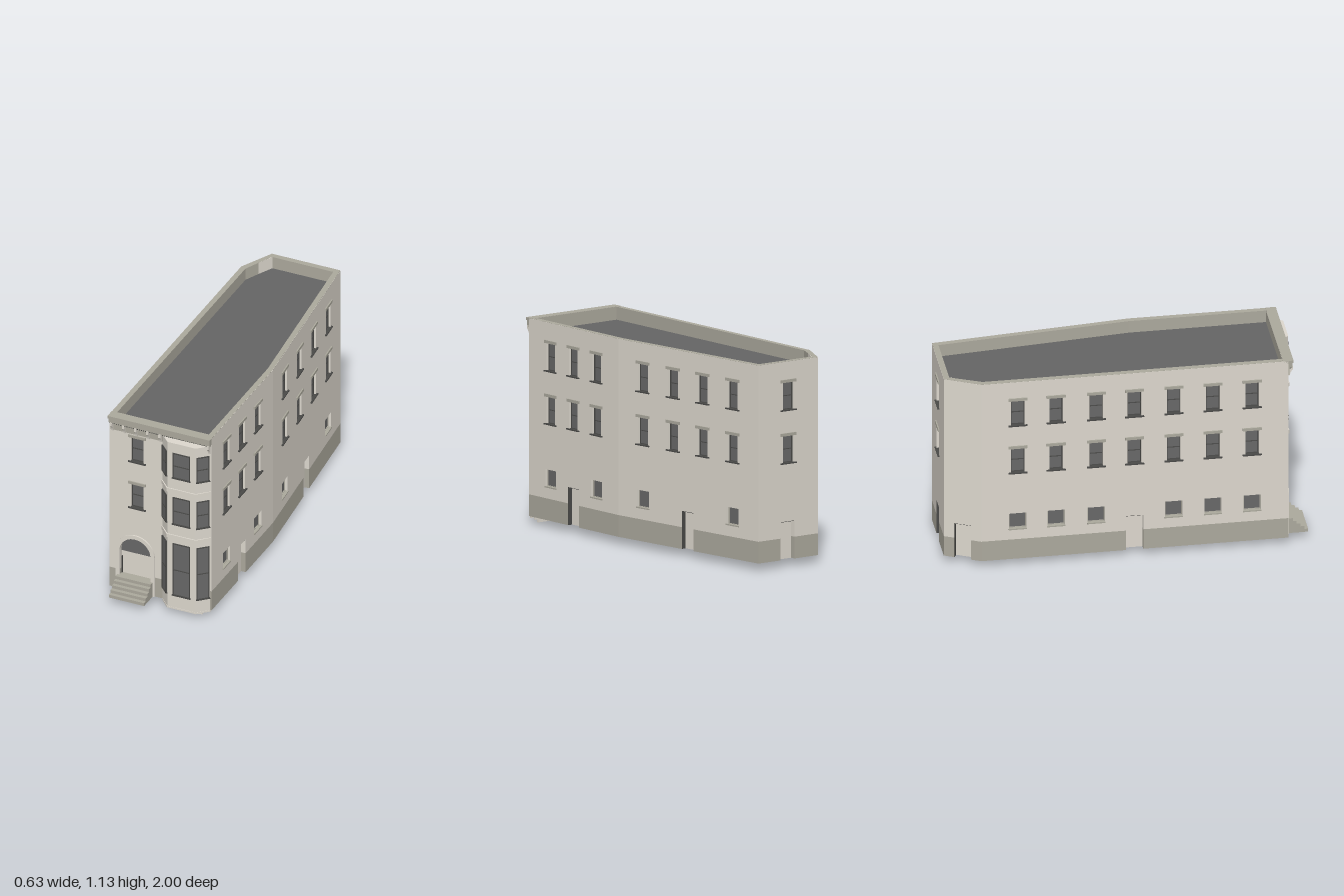
import * as THREE from 'three';

const material = (name, color) => {
  const m = new THREE.MeshStandardMaterial({ color });
  m.name = name;
  return m;
};

export function createModel() {
  const stone = material('pale stone', 0xddd8ce);
  const trim = material('grey stone trim', 0xaca99d);
  const glass = material('dark glass', 0x686868);
  const frame = material('window frame', 0x4a4a48);
  const roofing = material('roofing', 0x656565);
  const model = new THREE.Group();
  model.name = 'townhouse';

  const add = (parent, name, geo, mat, x = 0, y = 0, z = 0) => {
    const mesh = new THREE.Mesh(geo, mat);
    mesh.name = name;
    mesh.position.set(x, y, z);
    parent.add(mesh);
    return mesh;
  };
  // box given by its extents
  const box = (parent, name, mat, x0, x1, y0, y1, z0, z1) =>
    add(parent, name, new THREE.BoxGeometry(x1 - x0, y1 - y0, z1 - z0), mat, (x0 + x1) / 2, (y0 + y1) / 2, (z0 + z1) / 2);
  const extrude = (shape, depth) => new THREE.ExtrudeGeometry(shape, { depth, bevelEnabled: false, curveSegments: 20 });
  // plan polygon [x, z] raised from y0 to y1
  const planPoints = (pts) => pts.map(([x, z]) => new THREE.Vector2(x, -z));
  const slab = (name, mat, pts, y0, y1, hole) => {
    const shape = new THREE.Shape(planPoints(pts));
    if (hole) shape.holes.push(new THREE.Path(planPoints(hole)));
    return add(model, name, extrude(shape, y1 - y0).rotateX(-Math.PI / 2), mat, 0, y0, 0);
  };
  // group standing on a wall line: local x runs along the wall, z points outward
  const facade = (name, a, b) => {
    const g = new THREE.Group();
    g.name = name;
    g.position.set(a[0], 0, a[1]);
    g.rotation.y = Math.atan2(a[1] - b[1], b[0] - a[0]);
    model.add(g);
    return { g, length: Math.hypot(b[0] - a[0], b[1] - a[1]) };
  };

  // double-hung window: glass, border and meeting rail
  const addWindow = (g, u, w, y0, y1, z, border = frame, rail = true) => {
    const t = 0.004, l = u - w / 2, r = u + w / 2;
    box(g, 'windowGlass', glass, l, r, y0, y1, z - 0.004, z);
    box(g, 'windowFrame', border, l, l + t, y0, y1, z, z + 0.006);
    box(g, 'windowFrame', border, r - t, r, y0, y1, z, z + 0.006);
    box(g, 'windowFrame', border, l, r, y0, y0 + t, z, z + 0.006);
    box(g, 'windowFrame', border, l, r, y1 - t, y1, z, z + 0.006);
    if (rail) {
      const m = y0 + (y1 - y0) * 0.49;
      box(g, 'meetingRail', border, l, r, m - 0.002, m + 0.002, z, z + 0.005);
    }
  };

  const BASE = 0.04, BAND = 0.16, TOP = 1.13, THICK = 0.03;
  const FLOORS = [[0.573, 0.725], [0.865, 1.02]];
  const baseFaces = [trim, trim, trim, trim, trim, stone]; // pale on the inside

  // wall panel with a grey base, notched doors and pierced windows
  const buildWall = (name, a, b, { axis, tall = [], low = [], doors = [], arch }) => {
    const { g, length } = facade(name, a, b);
    const toU = (v) => (v - a[axis]) / (b[axis] - a[axis]) * length;
    const gaps = doors.map((v) => ({ u: toU(v), half: 0.048, top: 0.25 }));
    if (arch !== undefined) gaps.push({ u: toU(arch), half: 0.093, top: 0.282, round: true });
    gaps.sort((p, q) => p.u - q.u);

    const upper = new THREE.Shape();
    upper.moveTo(0, BAND);
    let start = 0;
    for (const d of gaps) {
      const l = d.u - d.half, r = d.u + d.half;
      box(g, 'wallBase', baseFaces, start, l, BASE, BAND, -THICK, 0);
      start = r;
      upper.lineTo(l, BAND);
      upper.lineTo(l, d.top);
      if (d.round) upper.absarc(d.u, d.top, d.half, Math.PI, 0, true);
      else {
        upper.lineTo(r, d.top);
        box(g, 'door', stone, l, r, BASE, d.top, -THICK - 0.002, -THICK + 0.002);
        box(g, 'doorBack', frame, l, r, BASE, d.top, -THICK - 0.005, -THICK - 0.002);
        box(g, 'doorHead', frame, l, r, d.top - 0.003, d.top, -THICK, -0.002);
        box(g, 'doorJamb', frame, l, l + 0.002, BASE, d.top, -THICK, -0.002);
      }
      upper.lineTo(r, BAND);
    }
    box(g, 'wallBase', baseFaces, start, length, BASE, BAND, -THICK, 0);
    upper.lineTo(length, BAND);
    upper.lineTo(length, TOP);
    upper.lineTo(0, TOP);

    const pierce = (u, w, y0, y1) => upper.holes.push(new THREE.Path([
      new THREE.Vector2(u - w / 2, y0), new THREE.Vector2(u - w / 2, y1),
      new THREE.Vector2(u + w / 2, y1), new THREE.Vector2(u + w / 2, y0)]));
    for (const u of tall.map(toU)) for (const [y0, y1] of FLOORS) {
      pierce(u, 0.075, y0, y1);
      addWindow(g, u, 0.075, y0, y1, -0.018);
      box(g, 'lintel', trim, u - 0.052, u + 0.052, y1 - 0.004, y1 + 0.012, -0.005, 0.007);
      box(g, 'sill', frame, u - 0.052, u + 0.052, y0 - 0.006, y0 + 0.001, -0.015, 0.009);
    }
    for (const u of low.map(toU)) {
      pierce(u, 0.095, 0.225, 0.32);
      addWindow(g, u, 0.095, 0.225, 0.32, -0.02, trim, false);
      box(g, 'lowSill', trim, u - 0.05, u + 0.05, 0.22, 0.227, -0.015, 0.005);
    }
    add(g, 'wall', extrude(upper, THICK), stone, 0, 0, -THICK);
  };

  // walls
  const F = 0.885;
  const outline = [[-0.305, F], [0.305, F], [0.305, 0.1], [0.2, -0.991], [-0.21, -0.991], [-0.305, -0.8]];
  const inner = [[-0.275, 0.855], [0.275, 0.855], [0.275, 0.1], [0.172, -0.961], [-0.197, -0.961], [-0.275, -0.79]];
  const specs = [
    ['frontWall', { axis: 0, tall: [-0.14], arch: -0.15 }],
    ['leftFrontWall', { axis: 1, tall: [0.695, 0.497, 0.294], low: [0.695, 0.294], doors: [0.497] }],
    ['leftRearWall', { axis: 1, tall: [-0.09, -0.326, -0.556, -0.79], low: [-0.09, -0.79], doors: [-0.438] }],
    ['backWall', { axis: 0, tall: [-0.005], doors: [0] }],
    ['cornerWall', { axis: 1, doors: [-0.895] }],
    ['rightWall', { axis: 1, tall: [-0.6, -0.39, -0.17, 0.04, 0.255, 0.47, 0.685], low: [-0.6, -0.39, -0.17, 0.255, 0.47, 0.685], doors: [0.04] }],
  ];
  specs.forEach(([name, spec], i) => buildWall(name, outline[i], outline[(i + 1) % 6], spec));

  // roof and parapet; the shell is open underneath
  slab('roof', roofing, inner, 1.055, 1.06);
  slab('parapet', trim, outline.map(([x, z]) => [x * 0.997, z * 0.999]), 1.06, TOP + 0.001, inner.map(([x, z]) => [x * 0.995, z * 0.998]));

  // arched entrance
  const cx = -0.15, spring = 0.282, R = 0.093, RO = 0.116;
  const ring = new THREE.Shape();
  ring.moveTo(cx - RO, BASE);
  ring.lineTo(cx - R, BASE);
  ring.lineTo(cx - R, spring);
  ring.absarc(cx, spring, R, Math.PI, 0, true);
  ring.lineTo(cx + R, BASE);
  ring.lineTo(cx + RO, BASE);
  ring.lineTo(cx + RO, spring);
  ring.absarc(cx, spring, RO, 0, Math.PI, false);
  add(model, 'archSurround', extrude(ring, 0.012), stone, 0, 0, F - 0.004);
  const fan = new THREE.Shape();
  fan.moveTo(cx + R, 0.27);
  fan.lineTo(cx + R, spring);
  fan.absarc(cx, spring, R, 0, Math.PI, false);
  fan.lineTo(cx - R, 0.27);
  add(model, 'fanlight', extrude(fan, 0.006), glass, 0, 0, F - 0.028);
  box(model, 'entranceDoor', stone, cx - R, cx + R, BASE, 0.27, F - 0.036, F - 0.028);
  for (const s of [-1, 1])
    box(model, 'entranceJamb', frame, cx + s * 0.09 - 0.002, cx + s * 0.09 + 0.002, 0.13, 0.235, F - 0.03, F - 0.018);

  // entrance steps
  for (let i = 0; i < 5; i++)
    box(model, 'step', trim, -0.256, -0.045, BASE + i * 0.018, BASE + (i + 1) * 0.018, F - 0.025, 1 - i * 0.021);

  // bay window: plan grows or shrinks by e
  const bayPlan = (e) => [[0.012 - e, F - 0.01], [0.012 - e, F], [0.067 - e * 0.5, 0.942 + e], [0.236 + e * 0.5, 0.942 + e], [0.296 + e, F], [0.296 + e, F - 0.01]];
  slab('bay', stone, bayPlan(0), 0.04, 1.08);
  for (const y of [0.478, 0.77]) slab('bayBand', stone, bayPlan(0.006), y, y + 0.022);
  slab('bayFoot', stone, bayPlan(0.002), 0.03, 0.04);
  slab('bayFoot', stone, bayPlan(-0.024), 0.017, 0.03);
  slab('bayFoot', stone, bayPlan(-0.046), 0, 0.017);
  const corners = bayPlan(0).slice(1, 5);
  for (let i = 0; i < 3; i++) {
    const { g, length } = facade('bayFace', corners[i], corners[i + 1]);
    const w = i === 1 ? 0.104 : length * 0.88;
    for (const [y0, y1] of [[0.12, 0.447], [0.57, 0.74], [0.863, 1.02]]) {
      addWindow(g, length / 2, w, y0, y1, 0.001);
      box(g, 'baySill', frame, length / 2 - w / 2 - 0.003, length / 2 + w / 2 + 0.003, y0 - 0.004, y0 + 0.002, 0, 0.008);
    }
  }

  // cornice, frieze, dentils and brackets
  box(model, 'cornice', trim, -0.305, 0.305, 1.117, 1.132, F - 0.03, 0.912);
  box(model, 'cornice', trim, -0.303, 0.303, 1.09, 1.117, F - 0.025, 0.906);
  box(model, 'frieze', trim, -0.296, 0.012, 1.04, 1.09, F - 0.002, F + 0.005);
  box(model, 'dentilBand', trim, -0.3, 0.3, 1.08, 1.09, F - 0.002, 0.897);
  for (let x = -0.298; x < 0.3; x += 0.0125)
    box(model, 'dentil', frame, x, x + 0.006, 1.082, 1.09, F - 0.002, 0.901);
  const bracket = new THREE.Shape();
  bracket.moveTo(0, 1.035);
  bracket.lineTo(0.008, 1.035);
  bracket.quadraticCurveTo(0.012, 1.06, 0.026, 1.07);
  bracket.lineTo(0.026, 1.09);
  bracket.lineTo(0, 1.09);
  for (const x of [-0.286, -0.213, -0.142, -0.07, 0.004, 0.293])
    add(model, 'bracket', extrude(bracket, 0.012).rotateY(-Math.PI / 2), stone, x + 0.006, 0, F);
  return model;
}
